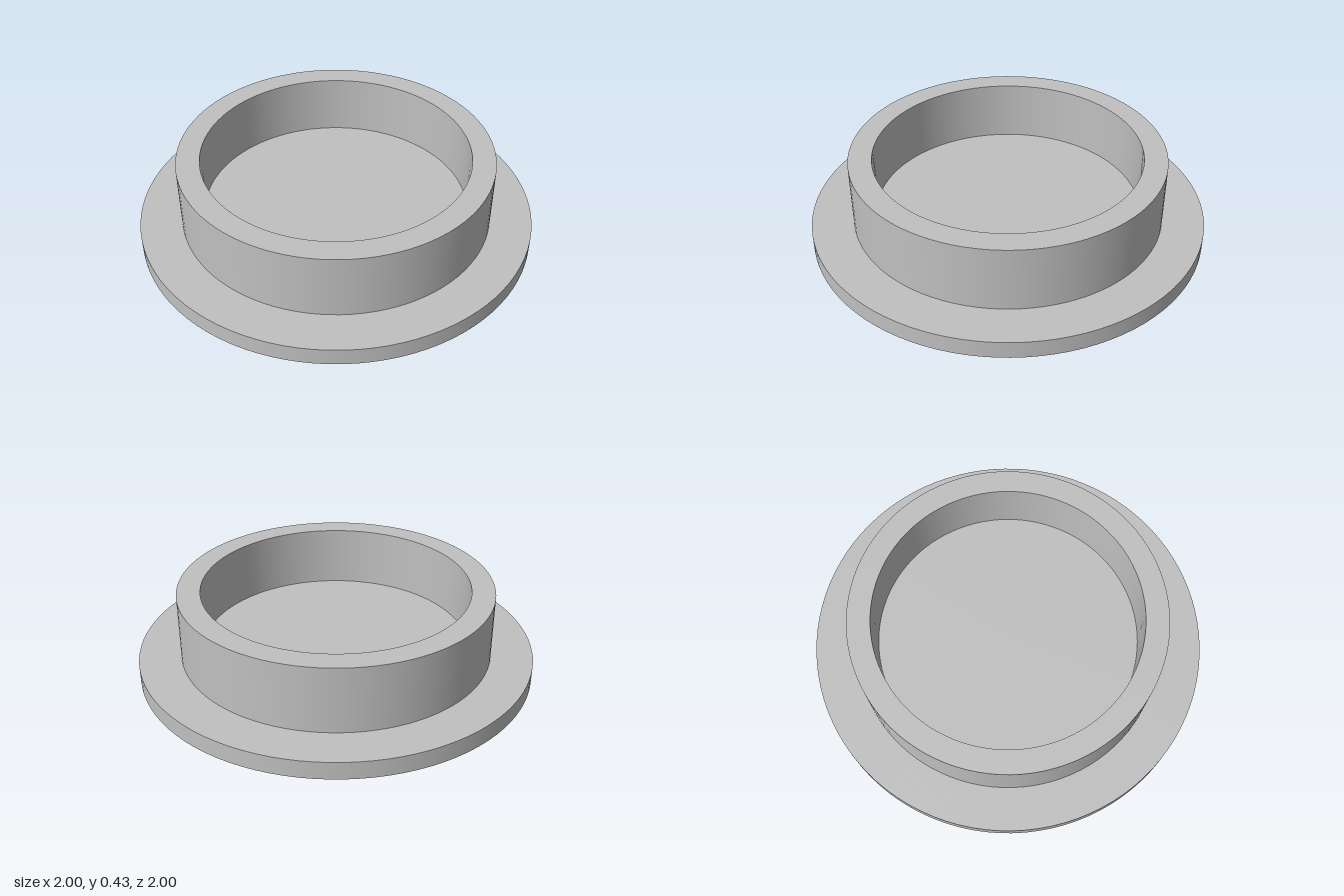
import * as THREE from 'three';

const SEGMENTS = 96;

export function createModel() {
  const model = new THREE.Group();
  model.name = 'flangedCap';
  const grey = new THREE.MeshStandardMaterial({ color: 0xc0c0c0 });
  grey.name = 'plain grey';

  const flangeRadius = 1, flangeTop = 0.09;
  const outerRadius = 0.79, innerRadius = 0.673, rimTop = 0.425;
  const floorHeight = 0.11;

  // Closed profile from the underside centre to the recess floor centre;
  // each name labels the face that ends at its point
  const start = [0, 0];
  const profile = [
    ['underside', flangeRadius, 0],
    ['flangeEdge', flangeRadius, flangeTop],
    ['flangeTop', outerRadius, flangeTop],
    ['collarOuterWall', outerRadius, rimTop],
    ['collarRim', innerRadius, rimTop],
    ['collarInnerWall', innerRadius, floorHeight],
    ['recessFloor', 0, floorHeight],
  ];

  // Turn each straight run separately so the corners stay sharp
  let [r, y] = start;
  for (const [name, nextR, nextY] of profile) {
    const run = [new THREE.Vector2(r, y), new THREE.Vector2(nextR, nextY)];
    const face = new THREE.Mesh(new THREE.LatheGeometry(run, SEGMENTS), grey);
    face.name = name;
    model.add(face);
    [r, y] = [nextR, nextY];
  }
  return model;
}
